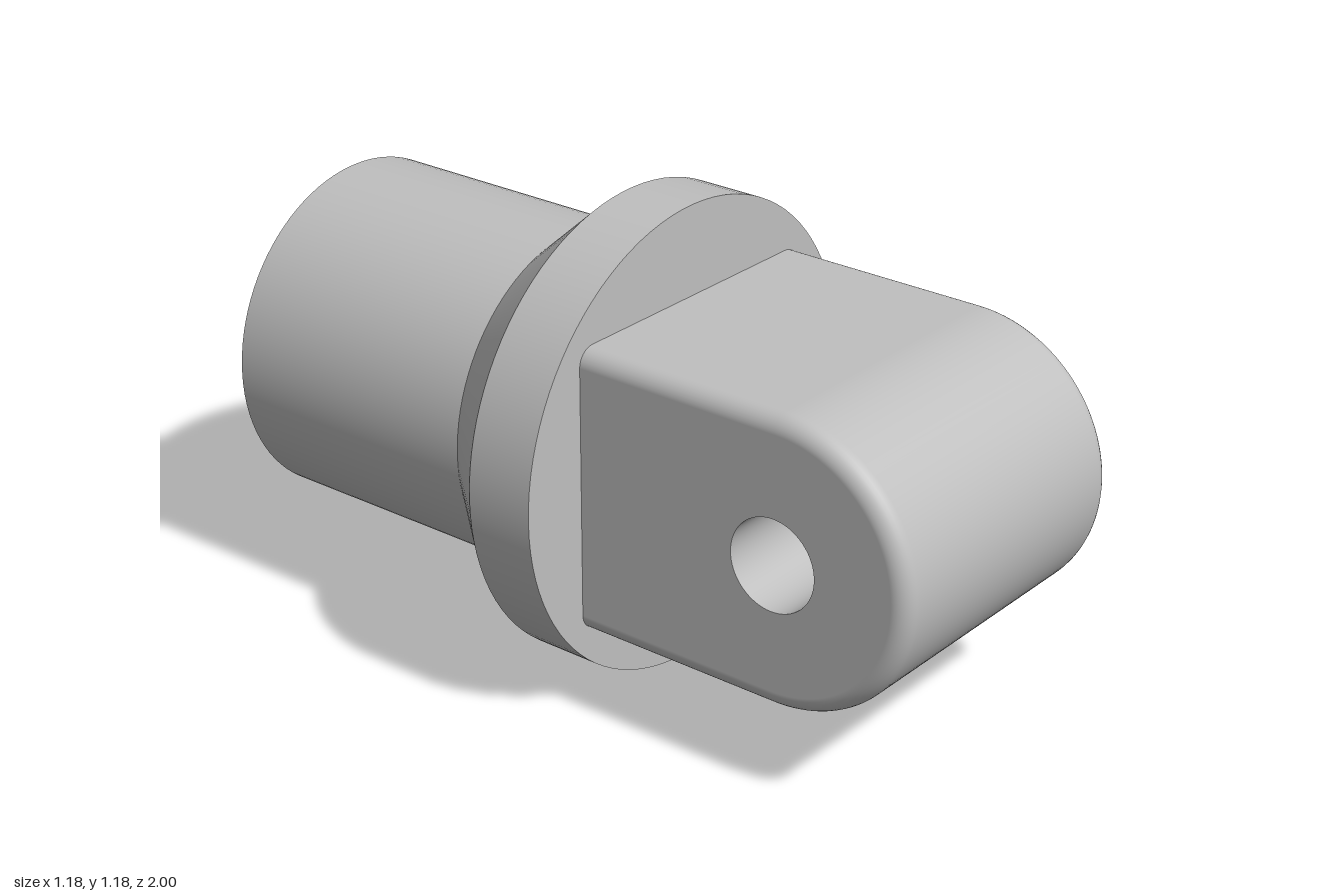
import * as THREE from 'three';

const AXIS_Y = 0.592;                        // height of the main axis
const ROOT_Z = 0.09, PIN_Z = 0.64;           // tongue root and eye centre
const HALF_W = 0.408, TONGUE_R = 0.363, FILLET = 0.045, HOLE_R = 0.115;

// U-shaped band round the tongue, with filleted long edges
function tongueBand() {
  const N = 64, K = 8, I = N + 2, J = 2 * K + 1;
  const geo = new THREE.PlaneGeometry(1, 1, I, J);
  const pos = geo.attributes.position, nor = geo.attributes.normal;
  for (let j = 0, n = 0; j <= J; j++) {
    const first = j <= K;
    const phi = (Math.PI / 2) * (first ? 1 - j / K : -(j - K - 1) / K);
    const x = (first ? 1 : -1) * (HALF_W - FILLET) + FILLET * Math.sin(phi);
    const r = TONGUE_R - FILLET + FILLET * Math.cos(phi);
    for (let i = 0; i <= I; i++, n++) {
      const t = Math.PI / 2 - Math.PI * THREE.MathUtils.clamp((i - 1) / N, 0, 1);
      const z = i === 0 || i === I ? ROOT_Z : PIN_Z + r * Math.cos(t);
      pos.setXYZ(n, x, r * Math.sin(t), z);
      nor.setXYZ(n, Math.sin(phi), Math.cos(phi) * Math.sin(t), Math.cos(phi) * Math.cos(t));
    }
  }
  return geo;
}

// Flat cheek of the tongue, pierced by the eye, facing -x
function cheek() {
  const r = TONGUE_R - FILLET;
  const s = new THREE.Shape();
  s.moveTo(ROOT_Z, -r);
  s.lineTo(PIN_Z, -r);
  s.absarc(PIN_Z, 0, r, -Math.PI / 2, Math.PI / 2, false);
  s.lineTo(ROOT_Z, r);
  s.closePath();
  s.holes.push(new THREE.Path().absarc(PIN_Z, 0, HOLE_R, 0, Math.PI * 2, true));
  return new THREE.ShapeGeometry(s, 32).rotateY(-Math.PI / 2).translate(-HALF_W, 0, 0);
}

// Round section along z
function round(rFront, rBack, zFront, zBack, open = false) {
  return new THREE.CylinderGeometry(rFront, rBack, zFront - zBack, 96, 1, open)
    .rotateX(Math.PI / 2).translate(0, 0, (zFront + zBack) / 2);
}

export function createModel() {
  const model = new THREE.Group();
  model.name = 'rodEnd';
  const steel = new THREE.MeshStandardMaterial({ color: 0xbfbfbf });
  steel.name = 'greySteel';
  const add = (name, geo) => {
    const mesh = new THREE.Mesh(geo, steel);
    mesh.name = name;
    mesh.position.y = AXIS_Y;
    model.add(mesh);
  };

  // Turned body
  add('flange', round(0.592, 0.592, ROOT_Z, -0.09));
  add('taper', round(0.592, 0.437, -0.09, -0.27, true));
  add('shaft', round(0.437, 0.437, -0.27, -1));

  // Tongue with cross hole
  add('tongueBand', tongueBand());
  add('rightCheek', cheek());
  add('leftCheek', cheek().rotateZ(Math.PI));
  const bore = [new THREE.Vector2(HOLE_R, HALF_W), new THREE.Vector2(HOLE_R, -HALF_W)];
  add('pinHole', new THREE.LatheGeometry(bore, 64).rotateZ(Math.PI / 2).translate(0, 0, PIN_Z));
  return model;
}
